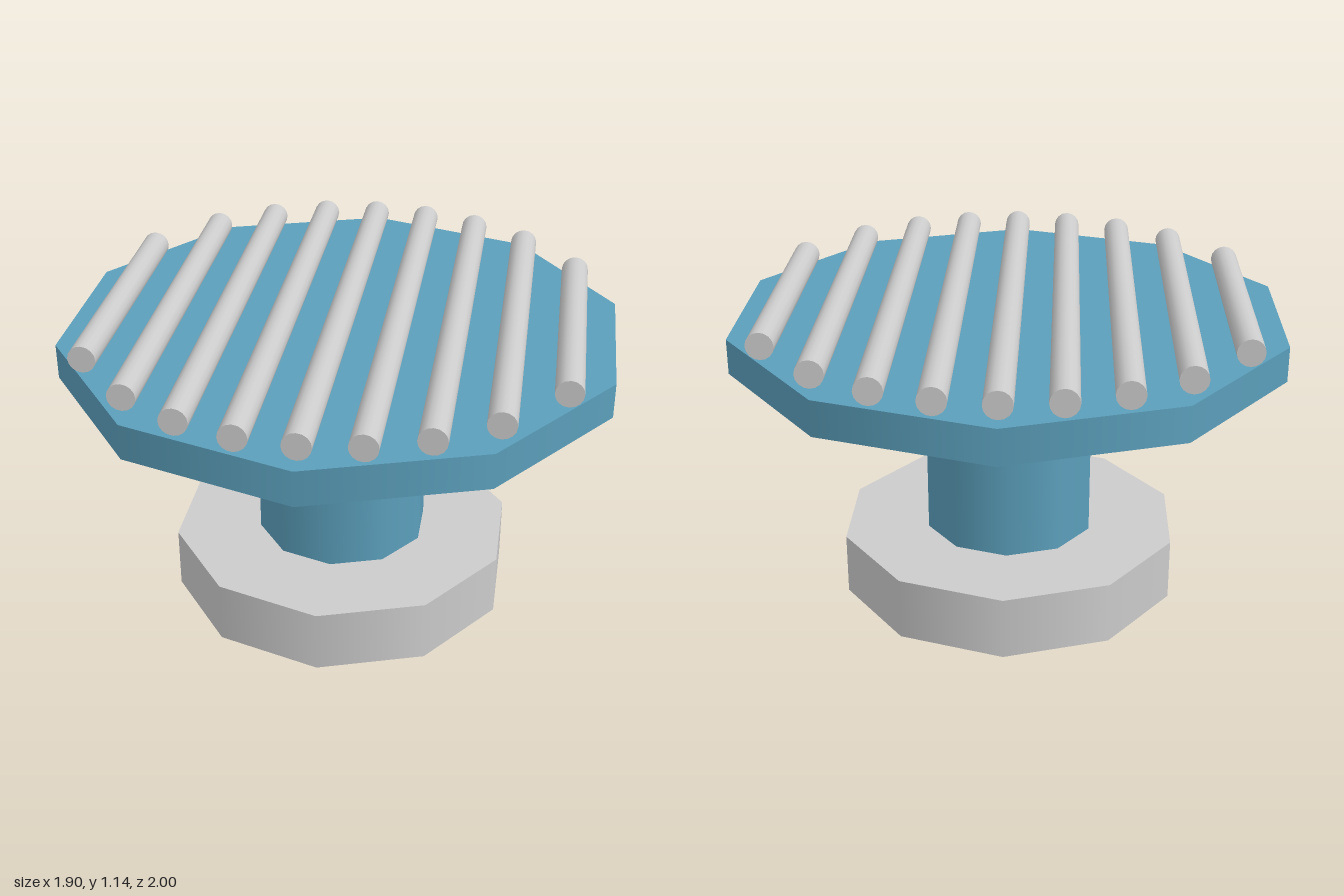
import * as THREE from 'three';

export function createModel() {
  const group = new THREE.Group();
  const grey = new THREE.MeshStandardMaterial({ color: 0xcccccc });
  const blue = new THREE.MeshStandardMaterial({ color: 0x5b9fbb });

  // Ten-sided disc standing between two heights, with a corner facing the front
  function disc(name, radius, bottom, top, material) {
    const mesh = new THREE.Mesh(new THREE.CylinderGeometry(radius, radius, top - bottom, 10), material);
    mesh.position.y = (bottom + top) / 2;
    mesh.name = name;
    group.add(mesh);
  }
  disc('base', 0.625, 0, 0.226, grey);
  disc('column', 0.3125, 0.226, 0.917, blue);
  disc('plate', 1, 0.917, 1.042, blue);

  // Parallel grill rods, their ends following a circle
  const rods = new THREE.Group();
  rods.name = 'grillRods';
  for (let i = -4; i <= 4; i++) {
    const x = i * 0.2;
    const length = 2 * Math.sqrt(0.9375 ** 2 - x * x);
    const rod = new THREE.Mesh(new THREE.CylinderGeometry(0.048, 0.048, length, 16).rotateX(Math.PI / 2), grey);
    rod.position.set(x, 1.09, 0);
    rod.name = 'grillRod';
    rods.add(rod);
  }
  group.add(rods);
  return group;
}
